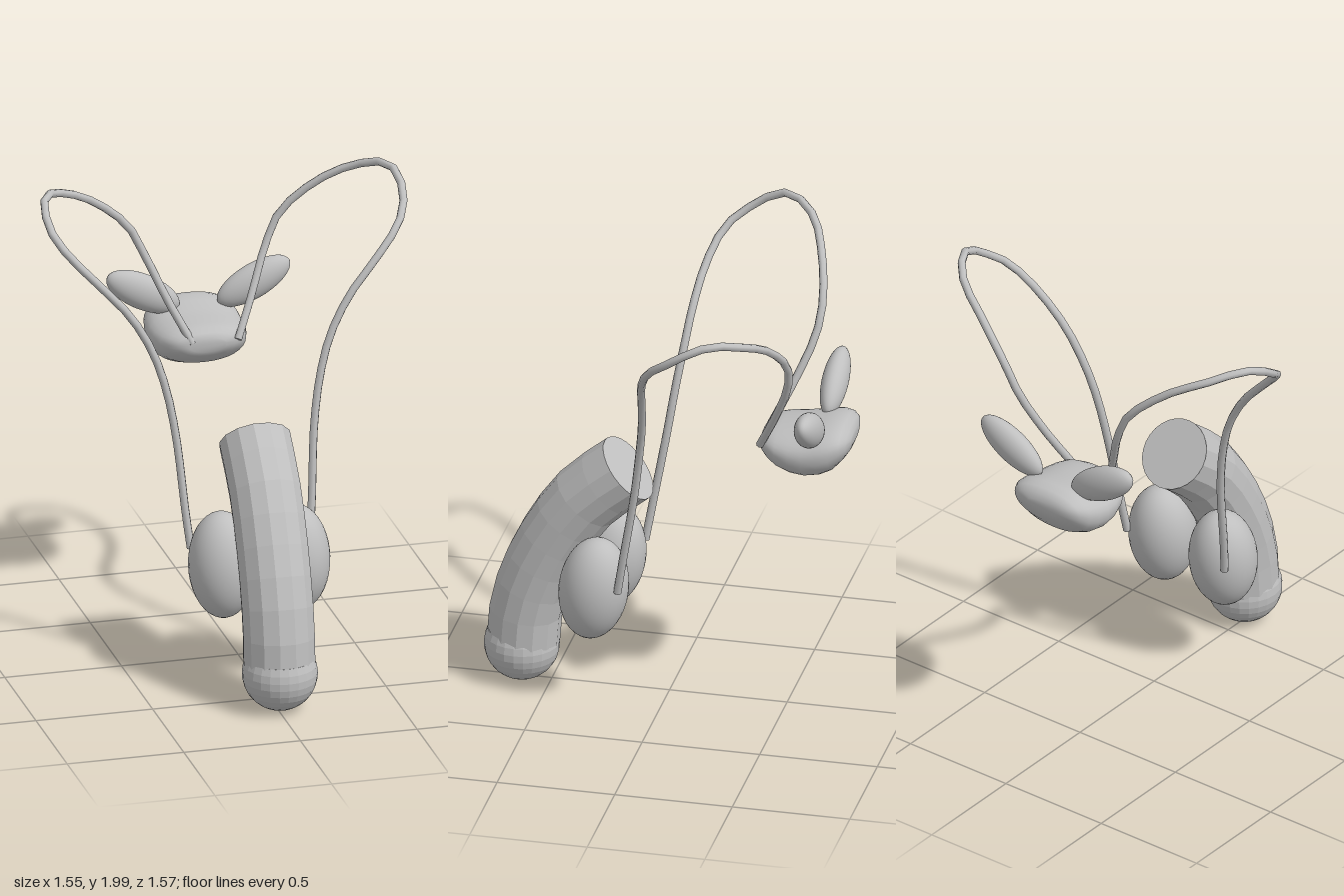
import * as THREE from 'three';

const grey = new THREE.MeshStandardMaterial({ color: 0xbfbfbf });
grey.name = 'plain grey';

const V = (x, y, z) => new THREE.Vector3(x, y, z);

function part(group, name, geometry) {
  const mesh = new THREE.Mesh(geometry, grey);
  mesh.name = name;
  group.add(mesh);
  return mesh;
}

// Gives every face its own flat normal
function faceted(geometry) {
  const flat = geometry.toNonIndexed();
  flat.computeVertexNormals();
  return flat;
}

function ellipsoid(group, name, centre, radii, rotation) {
  const mesh = part(group, name, new THREE.SphereGeometry(1, 32, 20));
  mesh.position.set(...centre);
  mesh.scale.set(...radii);
  mesh.rotation.set(...rotation);
}

// Closed loft along z; each section is [z, bottom, top, halfWidth]
function loft(sections, centreX, sides) {
  const positions = [], indices = [];
  const power = (v) => Math.sign(v) * Math.abs(v) ** 0.9;
  for (const [z, bottom, top, half] of sections) {
    const mid = bottom + (top - bottom) * 0.55;
    for (let i = 0; i < sides; i++) {
      const a = (i / sides) * Math.PI * 2, s = power(Math.sin(a));
      positions.push(centreX + half * power(Math.cos(a)), mid + s * (s > 0 ? top - mid : mid - bottom), z);
    }
  }
  for (let r = 0; r < sections.length - 1; r++) {
    for (let i = 0; i < sides; i++) {
      const a = r * sides + i, b = r * sides + (i + 1) % sides;
      indices.push(a, a + sides, b, b, a + sides, b + sides);
    }
  }
  const last = (sections.length - 1) * sides;
  for (let i = 1; i < sides - 1; i++) {
    indices.push(0, i, i + 1, last, last + i + 1, last + i);
  }
  const geometry = new THREE.BufferGeometry();
  geometry.setAttribute('position', new THREE.Float32BufferAttribute(positions, 3));
  geometry.setIndex(indices);
  geometry.computeVertexNormals();
  return geometry;
}

export function createModel() {
  const model = new THREE.Group();
  model.name = 'reproductiveAnatomy';

  // Curved shaft with a flat cut at the upper end
  const spine = new THREE.CatmullRomCurve3([
    V(0.012, 0.19, 0.617), V(0.013, 0.36, 0.6), V(0.016, 0.6, 0.515),
    V(0.022, 0.86, 0.352), V(0.026, 1.02, 0.17),
  ]);
  part(model, 'shaft', faceted(new THREE.TubeGeometry(spine, 8, 0.152, 14)));
  for (const [name, t, sign] of [['shaftLowerEnd', 0, -1], ['shaftCutEnd', 1, 1]]) {
    const disc = part(model, name, new THREE.CircleGeometry(0.152, 28));
    disc.position.copy(spine.getPointAt(t));
    disc.lookAt(disc.position.clone().addScaledVector(spine.getTangentAt(t), sign));
  }

  // Rounded tip, drawn in at its upper rim
  const tipProfile = [];
  for (let i = 0; i <= 10; i++) {
    const a = -Math.PI / 2 + (i / 10) * 2.02;
    tipProfile.push(new THREE.Vector2(Math.max(0, 0.158 * Math.cos(a)), 0.158 + 0.158 * Math.sin(a)));
  }
  tipProfile.push(new THREE.Vector2(0.12, 0.222), new THREE.Vector2(0, 0.222));
  const tip = part(model, 'tip', faceted(new THREE.LatheGeometry(tipProfile, 24)));
  tip.position.set(0.012, 0, 0.625);

  // Bladder: flat on top, bulging at the back and below
  part(model, 'bladder', loft([
    [-0.400, 1.195, 1.255, 0.08], [-0.412, 1.175, 1.275, 0.125], [-0.44, 1.15, 1.29, 0.16],
    [-0.48, 1.12, 1.297, 0.185], [-0.54, 1.098, 1.303, 0.202], [-0.6, 1.09, 1.311, 0.207],
    [-0.66, 1.1, 1.327, 0.204], [-0.71, 1.125, 1.335, 0.194], [-0.75, 1.17, 1.328, 0.17],
    [-0.773, 1.205, 1.31, 0.138], [-0.785, 1.235, 1.285, 0.08],
  ], -0.022, 32));

  // Path of the left duct; the right one mirrors it with a small sideways shift
  const ductPath = [
    [0.265, 0.56, 0.16], [0.28, 0.71, 0.135], [0.305, 1.03, 0.08], [0.34, 1.24, 0.05],
    [0.39, 1.4, 0.027], [0.475, 1.555, 0.008], [0.6, 1.7, -0.02], [0.705, 1.815, -0.075],
    [0.752, 1.885, -0.16], [0.76, 1.945, -0.25], [0.735, 1.98, -0.345], [0.64, 1.945, -0.46],
    [0.5, 1.87, -0.53], [0.335, 1.72, -0.578], [0.27, 1.59, -0.565], [0.19, 1.4, -0.49],
    [0.11, 1.235, -0.41],
  ];

  // Paired organs on each side
  for (const [side, sign] of [['left', 1], ['right', -1]]) {
    ellipsoid(model, side + 'Testis', [0.015 + sign * 0.158, 0.525, 0.282], [0.142, 0.227, 0.146], [-0.12, 0, 0]);
    ellipsoid(model, side + 'SeminalVesicle', [0.003 + sign * 0.237, 1.39, -0.65], [0.173, 0.075, 0.055], [0, 0, sign * 0.483]);

    const points = ductPath.map(([x, y, z]) =>
      V(sign > 0 ? x : -x + 0.03 * Math.max(0, 1 - x / 0.77), y, z));
    const duct = new THREE.CatmullRomCurve3(points);
    part(model, side + 'Duct', new THREE.TubeGeometry(duct, 32, 0.017, 8));
    points.slice(-1).concat(points[0]).forEach((p, i) => {
      const disc = part(model, side + (i ? 'DuctLowerEnd' : 'DuctUpperEnd'), new THREE.CircleGeometry(0.017, 8));
      disc.position.copy(p);
      disc.lookAt(p.clone().addScaledVector(duct.getTangentAt(i ? 0 : 1), i ? -1 : 1));
    });
  }
  return model;
}
